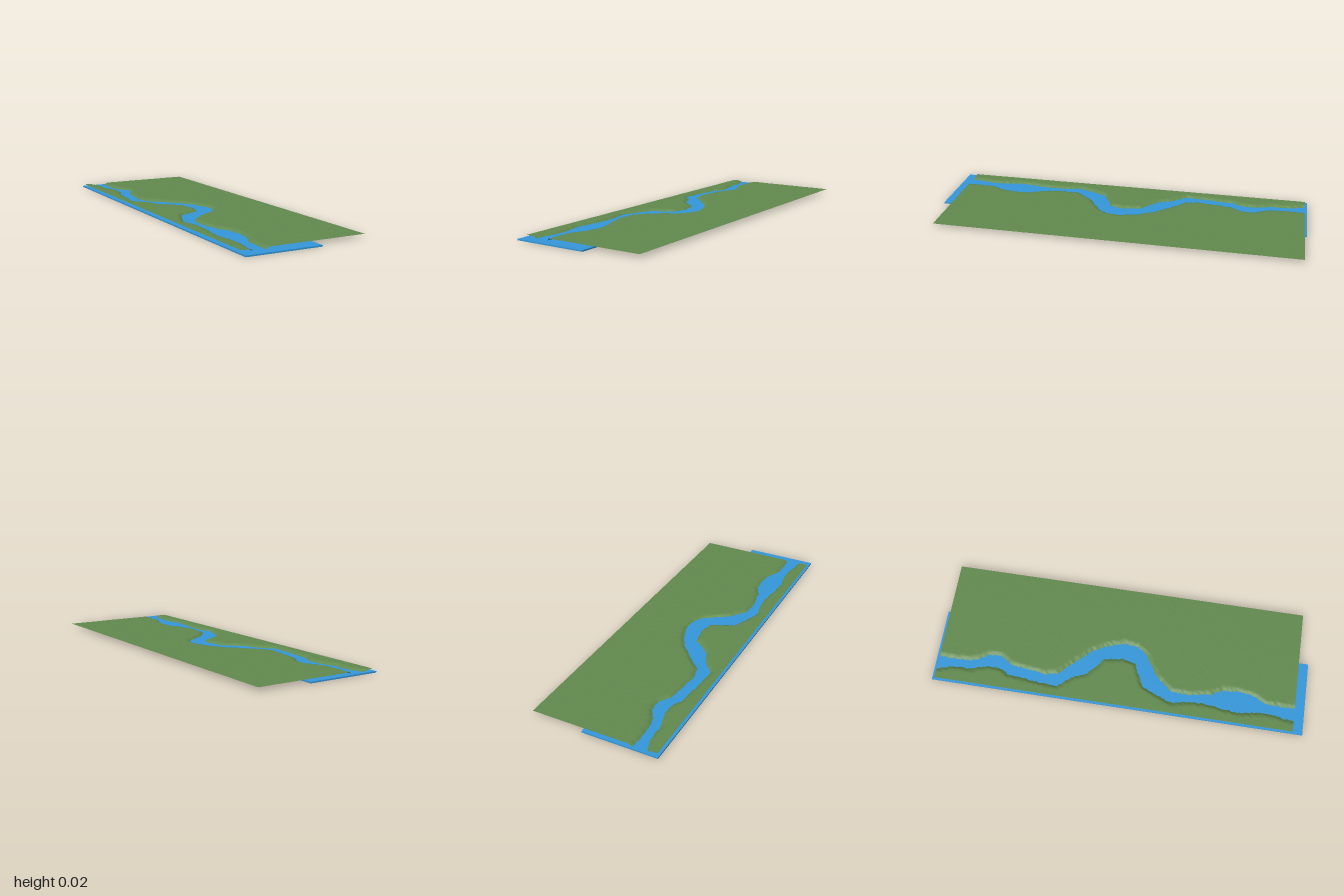
import * as THREE from 'three';

// River banks as [z, left edge x, right edge x]
const BANKS = [
  [-1.02, -0.285, -0.2], [-0.9, -0.25, -0.205], [-0.8, -0.25, -0.2], [-0.72, -0.22, -0.155],
  [-0.65, -0.22, -0.15], [-0.6, -0.25, -0.19], [-0.5, -0.26, -0.205], [-0.4, -0.27, -0.215],
  [-0.33, -0.275, -0.2], [-0.25, -0.21, -0.12], [-0.18, -0.18, -0.055], [-0.1, -0.085, -0.005],
  [0, -0.065, 0.025], [0.07, -0.08, 0.015], [0.095, -0.14, 0.0], [0.13, -0.205, -0.03],
  [0.2, -0.235, -0.14], [0.29, -0.27, -0.21], [0.4, -0.25, -0.21], [0.5, -0.25, -0.19],
  [0.56, -0.26, -0.16], [0.65, -0.27, -0.15], [0.72, -0.26, -0.165], [0.8, -0.25, -0.2],
  [1, -0.28, -0.2],
];
const WATER_TOP = 0.007, LAND_TOP = 0.0175, BED = 0.003;

function segmentDistance(x, z, ax, az, bx, bz) {
  const dx = bx - ax, dz = bz - az;
  const t = THREE.MathUtils.clamp(((x - ax) * dx + (z - az) * dz) / (dx * dx + dz * dz), 0, 1);
  return Math.hypot(x - ax - t * dx, z - az - t * dz);
}

// Distance to the nearest bank, negative inside the river
function bankDistance(x, z) {
  let d = Infinity, inside = false;
  for (let i = 0; i < BANKS.length - 1; i++) {
    const [z0, l0, r0] = BANKS[i], [z1, l1, r1] = BANKS[i + 1];
    d = Math.min(d, segmentDistance(x, z, l0, z0, l1, z1), segmentDistance(x, z, r0, z0, r1, z1));
    if (z >= z0 && z < z1) {
      const t = (z - z0) / (z1 - z0);
      inside = x > l0 + t * (l1 - l0) && x < r0 + t * (r1 - r0);
    }
  }
  return inside ? -d : d;
}

function seededRandom(seed) {
  return () => {
    seed = (seed * 1664525 + 1013904223) % 4294967296;
    return seed / 4294967296;
  };
}

export function createModel() {
  const model = new THREE.Group();

  // Slab of water under the river
  const water = new THREE.Mesh(
    new THREE.BoxGeometry(0.398, WATER_TOP, 2),
    new THREE.MeshStandardMaterial({ color: 0x3498db }));
  water.name = 'water';
  water.position.set(-0.139, WATER_TOP / 2, 0);
  model.add(water);

  // Thin sheet of ground, sunk below the water along a ragged river bed
  const x0 = -0.329, x1 = 0.338, z0 = -0.987, z1 = 0.948;
  const ground = new THREE.PlaneGeometry(x1 - x0, z1 - z0, 66, 192);
  ground.rotateX(-Math.PI / 2);
  ground.translate((x0 + x1) / 2, 0, (z0 + z1) / 2);
  const random = seededRandom(7), p = ground.attributes.position;
  for (let i = 0; i < p.count; i++) {
    const d = bankDistance(p.getX(i), p.getZ(i)) + (random() - 0.5) * 0.009;
    const y = THREE.MathUtils.clamp(WATER_TOP + 0.75 * d, BED, LAND_TOP);
    p.setY(i, y + (random() - 0.5) * 0.0007);
  }
  ground.computeVertexNormals();
  const land = new THREE.Mesh(ground,
    new THREE.MeshStandardMaterial({ color: 0x628a4e, side: THREE.DoubleSide }));
  land.name = 'land';
  model.add(land);

  return model;
}
